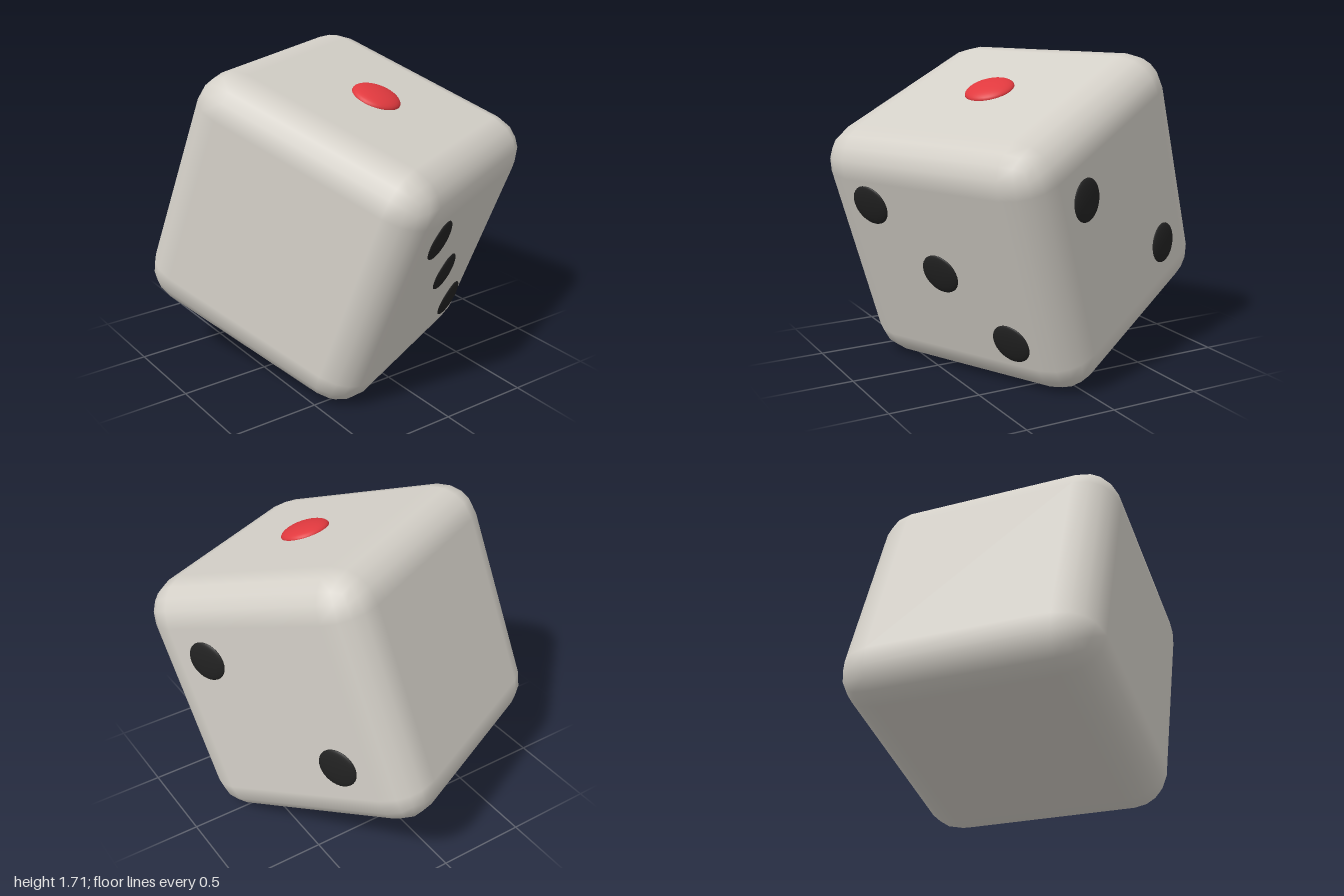
import * as THREE from 'three';
import { RoundedBoxGeometry } from 'three/addons/geometries/RoundedBoxGeometry.js';

const HALF = 0.714; // half the cube's side
const BEVEL = 0.213;

export function createModel() {
  const ivory = new THREE.MeshStandardMaterial({ name: 'ivory', color: 0xd4d0c8 });
  const red = new THREE.MeshStandardMaterial({ name: 'red', color: 0xe0393e });
  const black = new THREE.MeshStandardMaterial({ name: 'black', color: 0x222222 });

  const model = new THREE.Group();
  model.name = 'die';

  // Cube tipped forward and turned, resting on its lowest edge
  const cube = new THREE.Group();
  cube.name = 'tiltedCube';
  cube.rotation.set(THREE.MathUtils.degToRad(20), THREE.MathUtils.degToRad(25), 0, 'YXZ');
  model.add(cube);

  const body = new THREE.Mesh(
    new RoundedBoxGeometry(HALF * 2, HALF * 2, HALF * 2, 2, BEVEL), ivory);
  body.name = 'body';
  cube.add(body);

  // Shallow domed pip, its dome pointing along the face normal
  const up = new THREE.Vector3(0, 1, 0);
  function addPip(name, material, normal, radius, height, position) {
    const dome = new THREE.SphereGeometry(radius, 32, 10, 0, Math.PI * 2, 0, Math.PI / 2);
    dome.scale(1, height / radius, 1);
    const pip = new THREE.Mesh(dome, material);
    pip.name = name;
    pip.position.set(...position);
    pip.quaternion.setFromUnitVectors(up, new THREE.Vector3(...normal));
    cube.add(pip);
  }

  // One on top, two on the left side, three on the front
  addPip('topPip', red, [0, 1, 0], 0.135, 0.043, [0, HALF, 0]);
  for (const s of [-1, 1])
    addPip('sidePip', black, [1, 0, 0], 0.1125, 0.022, [HALF, 0.311 * s, 0.311 * s]);
  for (const s of [-1, 0, 1])
    addPip('frontPip', black, [0, 0, 1], 0.1125, 0.022, [0.362 * s, -0.362 * s, HALF]);

  // Set the lowest point on the ground
  model.updateMatrixWorld(true);
  cube.position.y = -new THREE.Box3().setFromObject(body, true).min.y;
  return model;
}
